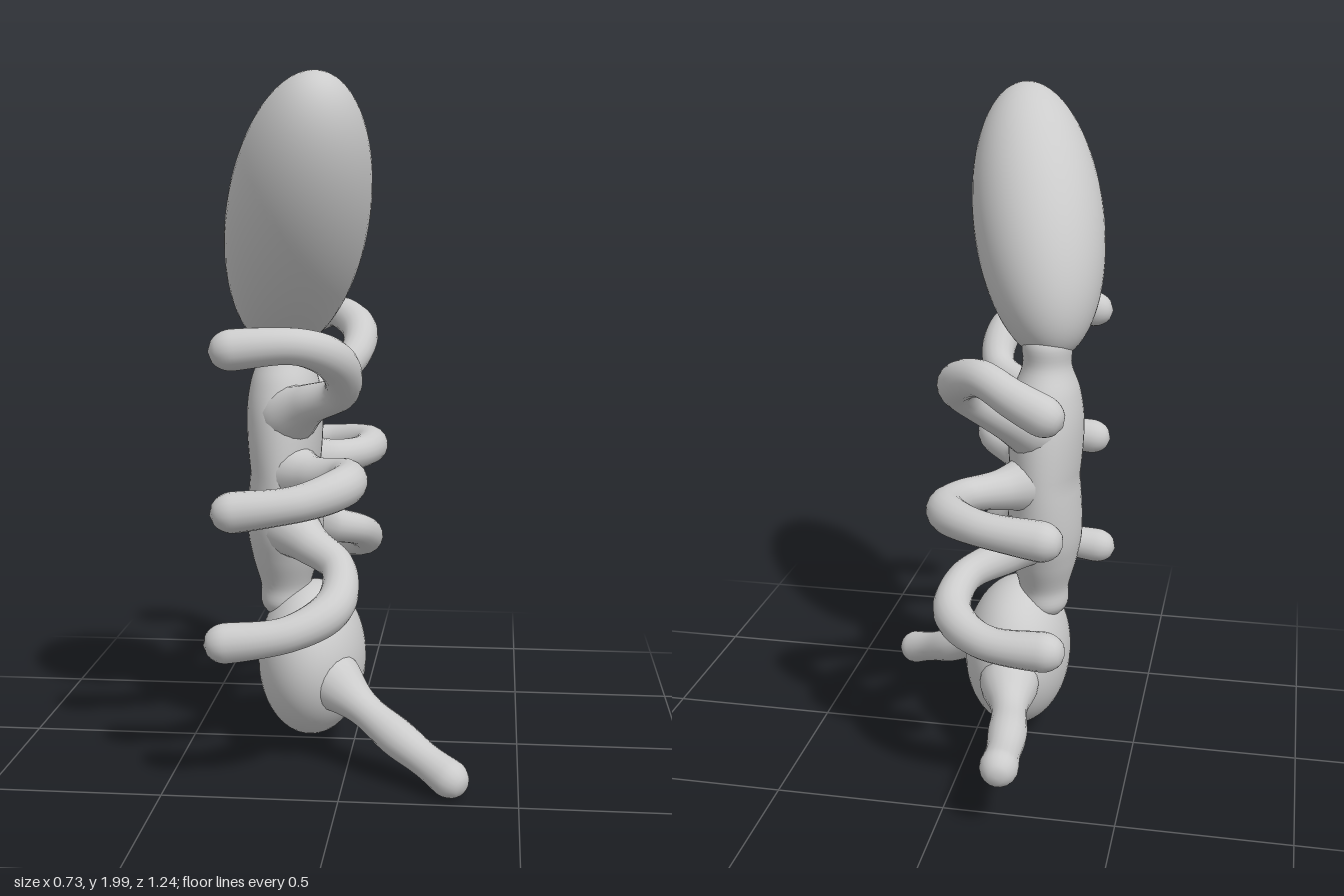
import * as THREE from 'three';
import { mergeVertices } from 'three/addons/utils/BufferGeometryUtils.js';

const material = new THREE.MeshStandardMaterial({ color: 0xcccccc });
const vec = (p) => new THREE.Vector3(...p);

// Weld seams and recompute smooth normals
function smooth(geometry) {
  geometry.deleteAttribute('uv');
  geometry.deleteAttribute('normal');
  const welded = mergeVertices(geometry, 1e-5);
  welded.computeVertexNormals();
  return welded;
}

function part(name, geometry) {
  const mesh = new THREE.Mesh(geometry, material);
  mesh.name = name;
  return mesh;
}

// Tube along points: flared at the root, slightly lumpy, rounded at the tip
function limb(name, points, radius) {
  const curve = new THREE.CatmullRomCurve3(points.map(vec));
  const length = curve.getLength();
  const rings = 80, sides = 18;
  const geometry = new THREE.TubeGeometry(curve, rings, 1, sides);
  const pos = geometry.attributes.position;
  const v = new THREE.Vector3();
  for (let i = 0; i <= rings; i++) {
    const t = i / rings;
    const centre = curve.getPointAt(t);
    const fromTip = (1 - t) * length;
    let r = radius * (0.97 + 0.06 * Math.sin(t * 15)) + 0.035 * Math.exp(-((t * length / 0.09) ** 2));
    const k = Math.min(1, fromTip / (radius * 1.2));
    r *= Math.sqrt(Math.max(0, 1 - (1 - k) ** 2));
    for (let j = 0; j <= sides; j++) {
      const n = i * (sides + 1) + j;
      v.fromBufferAttribute(pos, n).sub(centre).multiplyScalar(r).add(centre);
      pos.setXYZ(n, v.x, v.y, v.z);
    }
  }
  return part(name, smooth(geometry));
}

export function createModel() {
  const model = new THREE.Group();
  model.name = 'ant';

  // Head
  const head = part('head', new THREE.SphereGeometry(1, 48, 32));
  head.scale.set(0.163, 0.235, 0.24);
  head.position.set(-0.125, 0.282, 0.037);
  model.add(head);

  // Thorax: lathe, flattened in x, with a narrow neck at each end
  const profile = new THREE.SplineCurve([
    [0, 0.38], [0.085, 0.44], [0.095, 0.51], [0.135, 0.6], [0.168, 0.7], [0.18, 0.86],
    [0.168, 1.02], [0.135, 1.13], [0.092, 1.21], [0.085, 1.29], [0, 1.35],
  ].map(([r, y]) => new THREE.Vector2(r, y))).getPoints(60);
  for (const p of profile) p.x = Math.max(0, p.x);
  const body = new THREE.LatheGeometry(profile, 40);
  const pos = body.attributes.position;
  for (let i = 0; i < pos.count; i++) {
    const flat = 0.57 + 0.25 * Math.min(1, Math.abs(pos.getY(i) - 0.86) / 0.38);
    pos.setX(i, pos.getX(i) * flat);
  }
  const thorax = part('thorax', smooth(body));
  thorax.position.set(-0.205, 0, 0.035);
  model.add(thorax);

  // Abdomen: a long tilted ellipsoid
  const axis = new THREE.Vector3(0.2, 0.765, 0.61).normalize();
  const across = new THREE.Vector3(1, 0, 0).addScaledVector(axis, -axis.x).normalize();
  const depth = new THREE.Vector3().crossVectors(across, axis);
  const abdomen = part('abdomen', new THREE.SphereGeometry(1, 48, 40));
  abdomen.quaternion.setFromRotationMatrix(new THREE.Matrix4().makeBasis(across, axis, depth));
  abdomen.scale.set(0.2, 0.47, 0.235);
  abdomen.position.set(-0.135, 1.61, 0.27);
  model.add(abdomen);

  // Legs: out from the thorax, forward to the knee, then back to the foot
  const legs = {
    frontLegA: [[-0.19, 0.71, 0.12], [-0.11, 0.67, 0.21], [-0.02, 0.62, 0.29], [-0.02, 0.54, 0.41], [-0.13, 0.485, 0.5], [-0.37, 0.45, 0.52]],
    frontLegB: [[-0.19, 0.71, -0.05], [-0.11, 0.66, -0.13], [-0.01, 0.62, -0.23], [0.0, 0.565, -0.36], [-0.11, 0.53, -0.47], [-0.35, 0.53, -0.51]],
    middleLegA: [[-0.19, 0.87, 0.12], [-0.1, 0.87, 0.21], [0.0, 0.89, 0.3], [0.01, 0.885, 0.43], [-0.1, 0.855, 0.53], [-0.34, 0.825, 0.56]],
    middleLegB: [[-0.19, 0.87, -0.05], [-0.1, 0.865, -0.13], [0.0, 0.87, -0.23], [0.015, 0.875, -0.37], [-0.09, 0.87, -0.47], [-0.34, 0.85, -0.51]],
    rearLegA: [[-0.19, 1.03, 0.12], [-0.11, 1.08, 0.21], [-0.01, 1.13, 0.3], [-0.01, 1.22, 0.41], [-0.1, 1.275, 0.51], [-0.34, 1.265, 0.555]],
    rearLegB: [[-0.19, 1.03, -0.05], [-0.11, 1.09, -0.15], [-0.02, 1.18, -0.26], [-0.02, 1.25, -0.37], [-0.11, 1.295, -0.48], [-0.21, 1.255, -0.53], [-0.34, 1.195, -0.55]],
  };
  for (const [name, points] of Object.entries(legs)) model.add(limb(name, points, 0.055));

  // Feelers on the head
  model.add(limb('feelerA', [[-0.06, 0.26, 0.17], [0.03, 0.205, 0.24], [0.16, 0.13, 0.33], [0.35, 0.04, 0.47]], 0.054));
  model.add(limb('feelerB', [[-0.13, 0.26, -0.15], [-0.15, 0.235, -0.26], [-0.17, 0.21, -0.4], [-0.18, 0.195, -0.63]], 0.056));

  return model;
}
